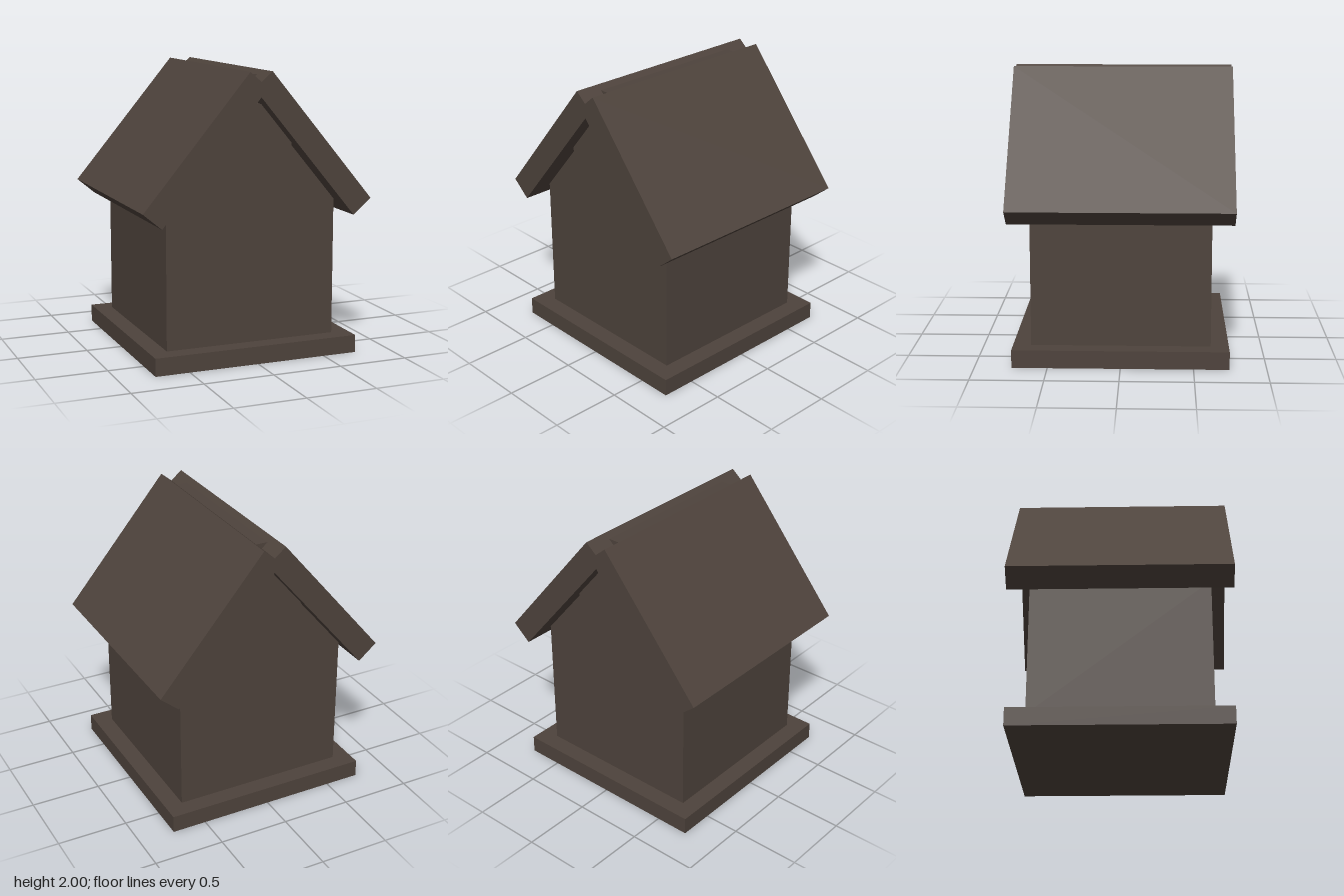
import * as THREE from 'three';

const wood = new THREE.MeshStandardMaterial({ name: 'darkWood', color: 0x4e433c });

export function createModel() {
  const model = new THREE.Group();
  model.name = 'gabledHouse';

  const add = (name, geometry, x = 0, y = 0, z = 0) => {
    const mesh = new THREE.Mesh(geometry, wood);
    mesh.name = name;
    mesh.position.set(x, y, z);
    model.add(mesh);
    return mesh;
  };

  // Prism with an outline in x, y and a depth centred on z = 0
  const prism = (points, depth) => {
    const shape = new THREE.Shape(points.map(([x, y]) => new THREE.Vector2(x, y)));
    return new THREE.ExtrudeGeometry(shape, { depth, bevelEnabled: false }).translate(0, 0, -depth / 2);
  };

  // Floor slab
  add('base', new THREE.BoxGeometry(1.49, 0.125, 1.49), 0, 0.0625, 0);

  // Walls with pointed gables
  add('body', prism([[-0.62, 0.125], [0.62, 0.125], [0.62, 1.09], [0, 1.83], [-0.62, 1.09]], 1.24));

  // Shallow boards on both gables, their upper corners buried in the roof
  const board = prism([[-0.275, 1.475], [0.275, 1.475], [0.275, 1.6], [0.1, 1.775], [-0.1, 1.775], [-0.275, 1.6]], 0.04);
  for (const side of [1, -1]) add(side > 0 ? 'frontGableBoard' : 'backGableBoard', board, 0, 0, side * 0.64);

  // Two thick roof panels crossing at the ridge and leaving a V groove on top
  const slope = Math.atan2(0.895, 0.75);
  const length = Math.hypot(0.75, 0.895);
  const panel = new THREE.BoxGeometry(length, 0.17, 1.54);
  for (const side of [1, -1]) {
    const roof = add(side > 0 ? 'leftRoofPanel' : 'rightRoofPanel', panel, side * 0.39, 1.498, 0);
    roof.rotation.z = -side * slope;
  }

  // Ridge beam lying in the groove
  add('ridgeBeam', new THREE.BoxGeometry(0.085, 0.195, 1.19), 0, 1.8725, 0);

  return model;
}
